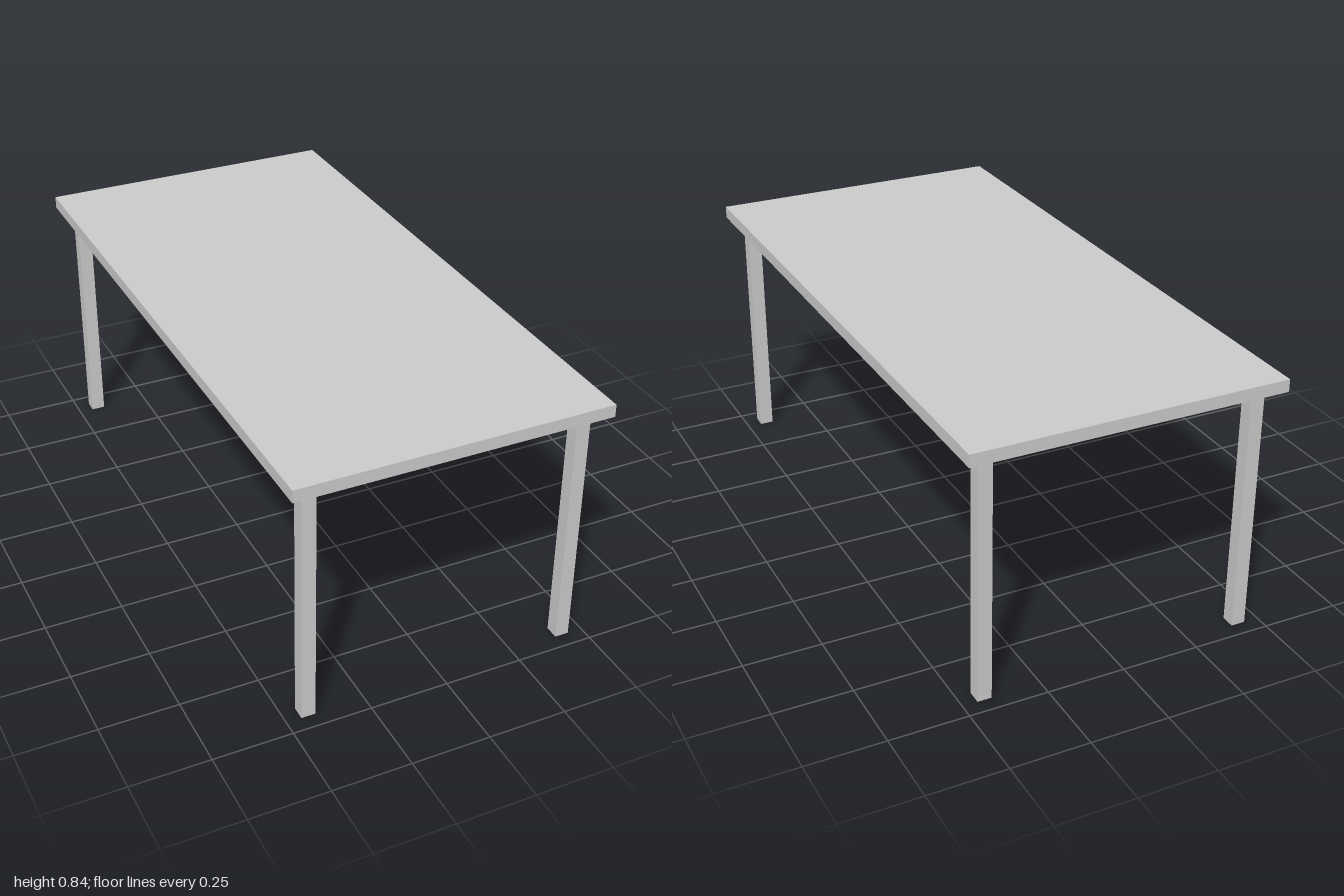
import * as THREE from 'three';

export function createModel() {
  const table = new THREE.Group();
  table.name = 'table';
  const material = new THREE.MeshStandardMaterial({ color: 0xcccccc });

  const legHeight = 0.8, legWidth = 0.045, topThickness = 0.04;

  // Flat rectangular slab
  const top = new THREE.Mesh(new THREE.BoxGeometry(1, topThickness, 2), material);
  top.name = 'tableTop';
  top.position.y = legHeight + topThickness / 2;
  table.add(top);

  // Four square legs, inset from the corners
  const legGeometry = new THREE.BoxGeometry(legWidth, legHeight, legWidth);
  for (const [xSide, x] of [['Left', 0.43], ['Right', -0.43]]) {
    for (const [zSide, z] of [['front', 0.93], ['back', -0.93]]) {
      const leg = new THREE.Mesh(legGeometry, material);
      leg.name = `${zSide}${xSide}Leg`;
      leg.position.set(x, legHeight / 2, z);
      table.add(leg);
    }
  }

  return table;
}
